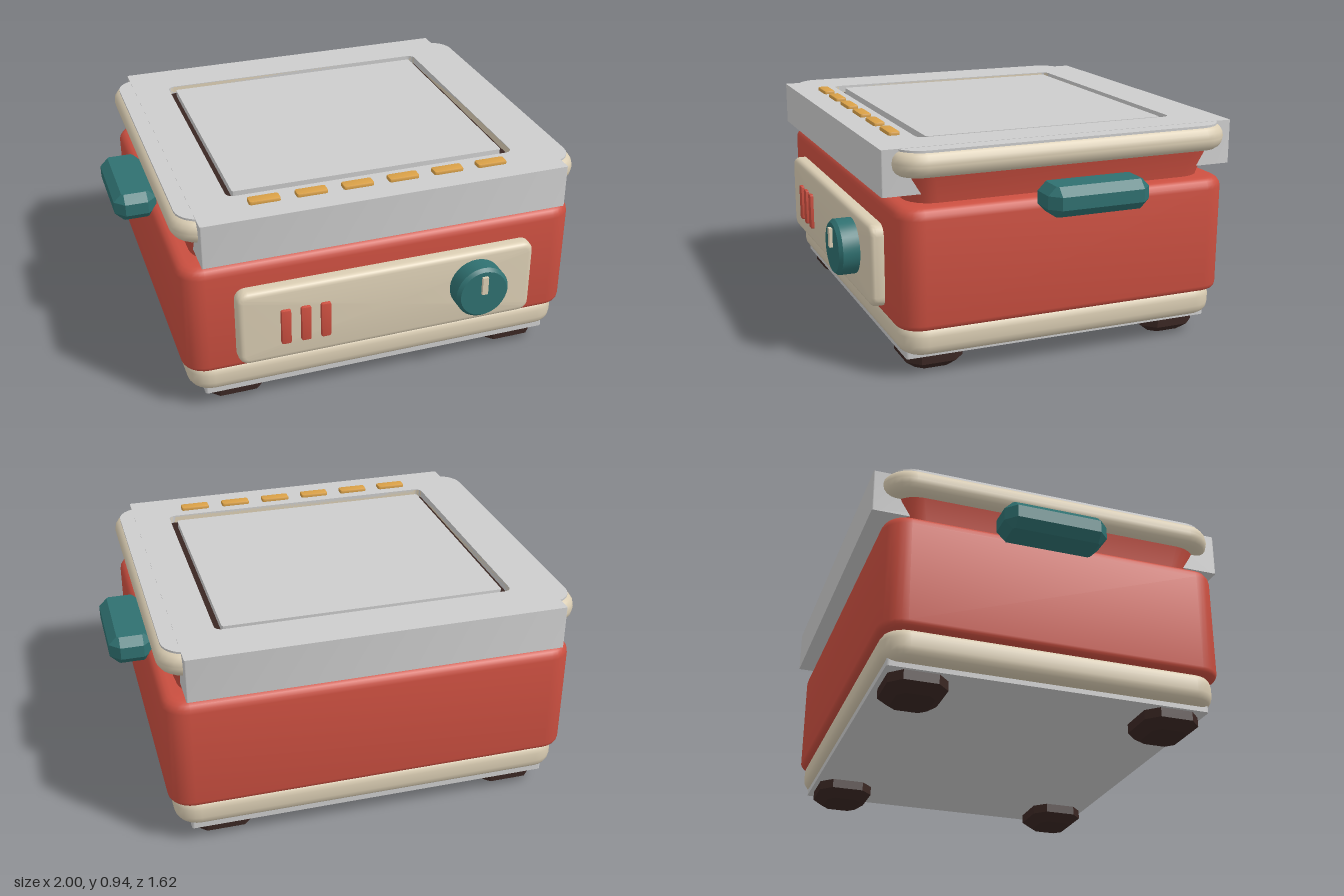
import * as THREE from 'three';
import { toCreasedNormals } from 'three/addons/utils/BufferGeometryUtils.js';

const mat = (name, color) => {
  const m = new THREE.MeshStandardMaterial({ color });
  m.name = name;
  return m;
};

// Stacks rounded-rectangle loops [halfWidth, halfDepth, cornerRadius, y] and caps both ends.
function loft(loops, steps = 6) {
  const pos = [], idx = [], n = 4 * (steps + 1);
  const corners = [[1, 1], [-1, 1], [-1, -1], [1, -1]];
  for (const [w, d, r, y] of loops) {
    corners.forEach(([sx, sz], q) => {
      for (let i = 0; i <= steps; i++) {
        const a = (q + i / steps) * Math.PI / 2;
        pos.push(sx * (w - r) + r * Math.cos(a), y, sz * (d - r) + r * Math.sin(a));
      }
    });
  }
  for (let k = 0; k < loops.length - 1; k++) {
    for (let j = 0; j < n; j++) {
      const a = k * n + j, b = k * n + (j + 1) % n;
      idx.push(a, a + n, b, b, a + n, b + n);
    }
  }
  const top = (loops.length - 1) * n, c = loops.length * n;
  pos.push(0, loops[0][3], 0, 0, loops[loops.length - 1][3], 0);
  for (let j = 0; j < n; j++) {
    const k = (j + 1) % n;
    idx.push(c, j, k, c + 1, top + k, top + j);
  }
  const g = new THREE.BufferGeometry();
  g.setAttribute('position', new THREE.Float32BufferAttribute(pos, 3));
  g.setIndex(idx);
  return toCreasedNormals(g, 0.6);
}

// Loops of a slab whose edges are rounded by `bottom` and `top` radii.
function slabLoops(w, d, r, y0, y1, bottom, top = bottom, steps = 4) {
  const loops = [];
  const arc = (b, y, up) => {
    for (let i = 0; i <= steps; i++) {
      const a = (up ? i : steps - i) / steps * Math.PI / 2;
      const inset = b * (1 - Math.cos(a));
      loops.push([w - inset, d - inset, Math.max(r - inset, 0.004), y + (up ? 1 : -1) * b * Math.sin(a)]);
    }
  };
  arc(bottom, y0 + bottom, false);
  arc(top, y1 - top, true);
  return loops;
}

export function createModel() {
  const red = mat('red enamel', 0xcb4f40);
  const cream = mat('cream', 0xdacdb3);
  const grey = mat('grey metal', 0xcccccc);
  const teal = mat('teal', 0x2f7070);
  const brown = mat('dark brown', 0x3a2723);
  const gold = mat('amber', 0xd9a047);

  const model = new THREE.Group();
  model.name = 'tabletopCooker';
  const add = (name, geometry, material, x = 0, y = 0, z = 0, parent = model) => {
    const mesh = new THREE.Mesh(geometry, material);
    mesh.name = name;
    mesh.position.set(x, y, z);
    parent.add(mesh);
    return mesh;
  };
  const zc = -0.052;

  // Housing
  add('bottomPlate', loft([[0.77, 0.67, 0.01, 0.075], [0.77, 0.67, 0.01, 0.12]]), grey, 0, 0, zc);
  add('baseBand', loft(slabLoops(0.83, 0.695, 0.1, 0.095, 0.222, 0.045)), cream, 0, 0, zc);
  add('body', loft(slabLoops(0.853, 0.713, 0.1, 0.21, 0.698, 0.025, 0.045)), red, 0, 0, zc);
  add('neck', loft([[0.774, 0.64, 0.11, 0.66], [0.776, 0.645, 0.11, 0.7], [0.815, 0.68, 0.12, 0.83]]), red, 0, 0, zc);

  // Lid: cream rim, metal block with a shallow recess, and the cooking plate in it
  const hole = [0.615, 0.56, 0.03];
  add('rim', loft([...slabLoops(0.86, 0.72, 0.12, 0.81, 0.917, 0.05, 0.05), [...hole, 0.917], [...hole, 0.87]]), cream, 0, 0, zc);
  add('lidBlock', loft([[0.77, 0.757, 0.005, 0.737], [0.77, 0.757, 0.005, 0.92],
    [...hole, 0.92], [...hole, 0.88]]), grey, 0, 0, zc);
  add('lidTop', loft([[0.835, 0.695, 0.1, 0.9], [0.835, 0.695, 0.1, 0.919],
    [...hole, 0.919], [...hole, 0.875]]), grey, 0, 0, zc);
  add('recessFloor', new THREE.BoxGeometry(1.23, 0.009, 1.12), brown, 0, 0.882, zc);
  add('cookingPlate', loft([[0.583, 0.522, 0.01, 0.88], [0.583, 0.522, 0.01, 0.915]]), grey, 0, 0, -0.06);

  // Row of indicator lights
  const light = loft(slabLoops(0.064, 0.024, 0.01, 0.91, 0.935, 0.004, 0.006, 2), 3);
  for (let i = 0; i < 6; i++) add('indicatorLight', light, gold, -0.485 + i * 0.193, 0, 0.578);

  // Control panel, laid out flat and tipped up to face the front
  const panel = new THREE.Group();
  panel.name = 'controlPanel';
  panel.rotation.x = Math.PI / 2;
  panel.position.set(0, 0.42, 0.64);
  model.add(panel);
  add('panelPlate', loft(slabLoops(0.643, 0.17, 0.045, 0, 0.075, 0.01, 0.025)), cream, 0, 0, 0, panel);
  const vent = loft(slabLoops(0.021, 0.08, 0.008, 0.05, 0.09, 0.004, 0.006, 2), 3);
  for (let i = 0; i < 3; i++) add('vent', vent, red, -0.448 + i * 0.084, 0, 0.01, panel);
  const knobProfile = [[0, 0.06], [0.105, 0.06], [0.116, 0.075], [0.116, 0.145], [0.103, 0.16], [0, 0.16]];
  const knob = new THREE.LatheGeometry(knobProfile.map(p => new THREE.Vector2(...p)), 32);
  add('knob', toCreasedNormals(knob, 0.6), teal, 0.38, 0, -0.021, panel);
  add('knobPointer', new THREE.BoxGeometry(0.025, 0.02, 0.08), cream, 0.38, 0.163, -0.064, panel);

  // Chamfered side handles
  const handle = loft(slabLoops(0.09, 0.217, 0.042, 0.645, 0.765, 0.034, 0.034, 1), 1);
  for (const s of [1, -1]) add(s > 0 ? 'leftHandle' : 'rightHandle', handle, teal, s * 0.91, 0, -0.108);

  // Chamfered feet
  const foot = loft([[0.085, 0.077, 0.03, 0], [0.129, 0.12, 0.05, 0.035], [0.129, 0.12, 0.05, 0.078]], 1);
  for (const x of [-0.627, 0.627]) for (const z of [0.48, -0.582]) add('foot', foot, brown, x, 0, z);

  return model;
}
